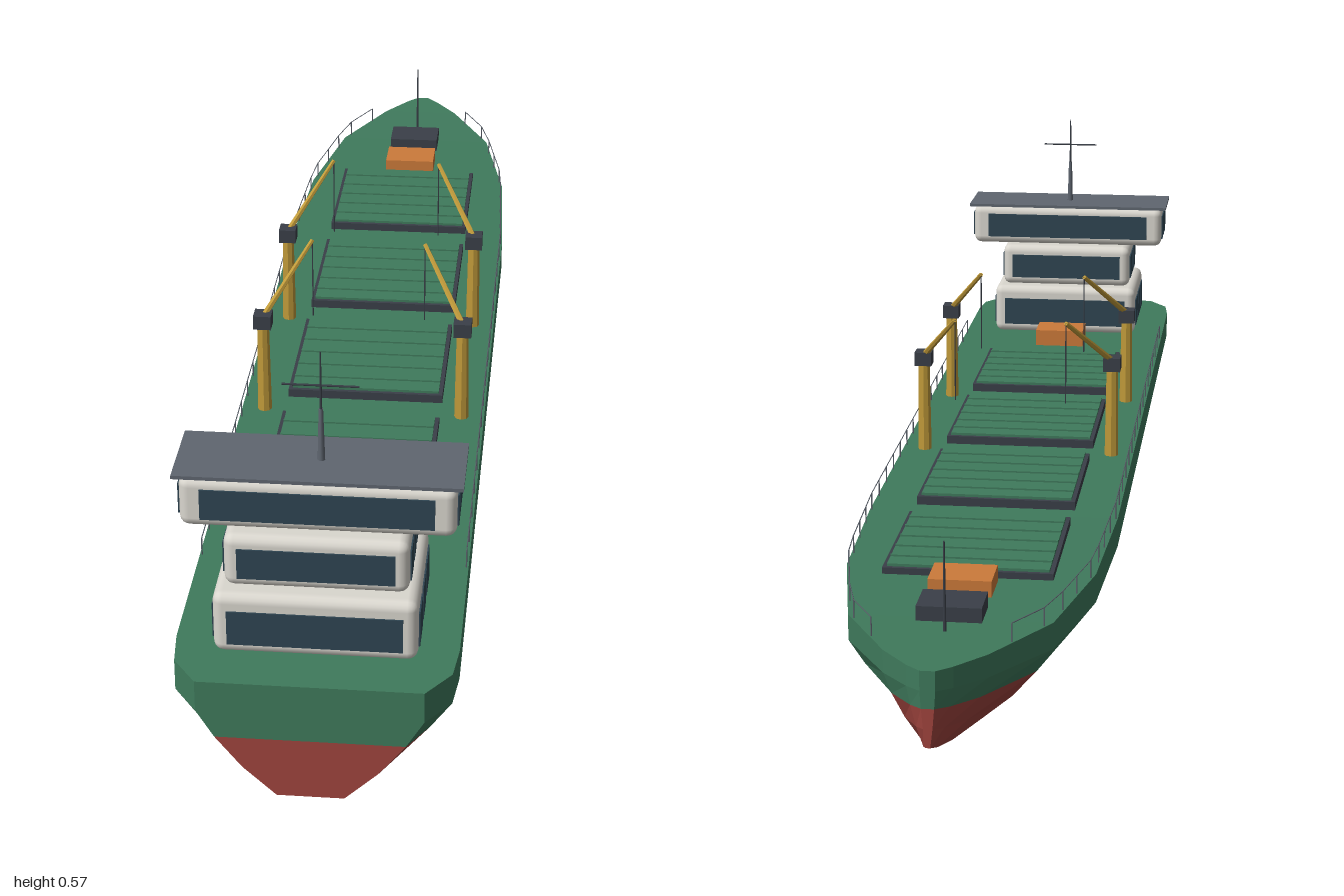
import * as THREE from 'three';
import { RoundedBoxGeometry } from 'three/addons/geometries/RoundedBoxGeometry.js';

const mat = (color, flatShading = false) => new THREE.MeshStandardMaterial({ color, flatShading });
const M = {
  green: mat(0x3f7a5c, true), red: mat(0xa0443e, true), white: mat(0xdad7cf),
  glass: mat(0x2f4552), dark: mat(0x3a3f48), roof: mat(0x5f6670),
  yellow: mat(0xc09a3a, true), orange: mat(0xcc7a3a),
};

// Hull stations, stern to bow: z, half width, keel height, deck height
const STATIONS = [
  [1, 0.148, 0, 0.172], [0.955, 0.181, 0, 0.172], [0.9, 0.187, 0, 0.172], [0.3, 0.187, 0, 0.172],
  [-0.35, 0.187, 0, 0.172], [-0.6, 0.176, 0.014, 0.175], [-0.8, 0.137, 0.038, 0.179],
  [-0.93, 0.068, 0.064, 0.184], [-0.98, 0.03, 0.076, 0.186], [-1, 0.01, 0.083, 0.187],
];
// Section profile as fractions of half width and depth
const PROFILE = [[0.3, 0], [0.6, 0.245], [0.84, 0.51], [1, 0.74], [1, 1]];

function createModel() {
  const ship = new THREE.Group();
  ship.name = 'cargoShip';

  const add = (name, geo, material, x = 0, y = 0, z = 0, parent = ship) => {
    const m = new THREE.Mesh(geo, material);
    m.name = name;
    m.position.set(x, y, z);
    parent.add(m);
    return m;
  };
  const box = (name, w, h, d, material, x, y, z, parent) =>
    add(name, new THREE.BoxGeometry(w, h, d), material, x, y, z, parent);
  // Straight rod from a to b
  const rod = (name, a, b, r0, r1, material, sides = 6, parent = ship) => {
    const dir = b.clone().sub(a);
    const m = add(name, new THREE.CylinderGeometry(r1, r0, dir.length(), sides), material, 0, 0, 0, parent);
    m.position.copy(a).add(b).multiplyScalar(0.5);
    m.quaternion.setFromUnitVectors(new THREE.Vector3(0, 1, 0), dir.normalize());
    return m;
  };
  const V = (x, y, z) => new THREE.Vector3(x, y, z);

  // Hull: closed rings of section points joined in coloured bands
  const rings = STATIONS.map(([z, w, k, d]) => {
    const left = PROFILE.map(([fx, fy]) => [w * fx, k + (d - k) * fy, z]);
    return [...left, ...left.map(([x, y]) => [-x, y, z]).reverse()];
  });
  const faces = { red: [], green: [], deck: [] };
  const quad = (key, a, b, c, d) => faces[key].push(...a, ...b, ...c, ...a, ...c, ...d);
  const bandKey = ['red', 'red', 'green', 'green', 'deck', 'green', 'green', 'red', 'red', 'red'];
  for (let i = 0; i < rings.length - 1; i++) {
    const p = rings[i], q = rings[i + 1];
    for (let j = 0; j < 10; j++) {
      const n = (j + 1) % 10;
      quad(bandKey[j], p[j], q[j], q[n], p[n]);
    }
  }
  // Transom and stem
  const s = rings[0], b = rings[rings.length - 1];
  for (let j = 0; j < 4; j++) {
    quad(bandKey[j], s[j], s[j + 1], s[8 - j], s[9 - j]);
    quad(bandKey[j], b[9 - j], b[8 - j], b[j + 1], b[j]);
  }
  const bandMesh = (name, key, material) => {
    const g = new THREE.BufferGeometry();
    g.setAttribute('position', new THREE.Float32BufferAttribute(faces[key], 3));
    g.computeVertexNormals();
    add(name, g, material);
  };
  bandMesh('lowerHull', 'red', M.red);
  bandMesh('upperHull', 'green', M.green);
  bandMesh('deck', 'deck', M.green);

  // Deck half width and height at any z
  const deckAt = (z) => {
    let i = 0;
    while (i < STATIONS.length - 2 && STATIONS[i + 1][0] > z) i++;
    const p = STATIONS[i], q = STATIONS[i + 1], t = (p[0] - z) / (p[0] - q[0]);
    return [p[1] + (q[1] - p[1]) * t, p[3] + (q[3] - p[3]) * t];
  };

  // Superstructure: three tiers with window bands
  const bridge = new THREE.Group();
  bridge.name = 'bridge';
  bridge.position.z = 0.832;
  ship.add(bridge);
  // y0, y1, width, depth, window width, window y0, window y1
  const tiers = [
    [0.17, 0.26, 0.268, 0.2, 0.23, 0.186, 0.236],
    [0.258, 0.335, 0.242, 0.155, 0.206, 0.273, 0.317],
    [0.334, 0.407, 0.36, 0.118, 0.304, 0.348, 0.392],
  ];
  tiers.forEach(([y0, y1, w, d, ww, v0, v1]) => {
    add('bridgeTier', new RoundedBoxGeometry(w, y1 - y0, d, 2, 0.014), M.white, 0, (y0 + y1) / 2, 0, bridge);
    const vy = (v0 + v1) / 2, vh = v1 - v0, pitch = (d - 0.02) / 3;
    for (const side of [-1, 1]) {
      box('windowBand', ww, vh, 0.004, M.glass, 0, vy, side * d / 2, bridge);
      for (let i = -1; i <= 1; i++)
        box('sideWindow', 0.004, vh, pitch * 0.8, M.glass, side * w / 2, vy, i * pitch, bridge);
    }
  });
  box('bridgeRoof', 0.376, 0.005, 0.118, M.roof, 0, 0.408, 0, bridge);
  rod('mastBase', V(0, 0.41, 0), V(0, 0.485, 0), 0.005, 0.003, M.roof, 8, bridge);
  rod('mastTop', V(0, 0.485, 0), V(0, 0.567, 0), 0.002, 0.001, M.dark, 6, bridge);
  rod('mastCrossbar', V(-0.05, 0.519, 0), V(0.05, 0.519, 0), 0.0014, 0.0014, M.dark, 6, bridge);

  // Cargo hatches with ribbed covers
  for (let i = 0; i < 4; i++) {
    const z = 0.427 - i * 0.313;
    box('hatchCoaming', 0.24, 0.018, 0.244, M.dark, 0, 0.176, z);
    box('hatchCover', 0.228, 0.006, 0.232, M.green, 0, 0.186, z);
    for (let k = -2; k <= 2; k++) box('hatchRib', 0.228, 0.003, 0.005, M.green, 0, 0.19, z + k * 0.042);
  }

  // Deck cranes, in mirrored pairs
  for (const z of [0.275, -0.037]) for (const side of [-1, 1]) {
    const x = side * 0.152, tip = V(side * 0.087, 0.414, z - 0.1);
    const crane = new THREE.Group();
    crane.name = 'crane';
    ship.add(crane);
    rod('cranePost', V(x, 0.17, z), V(x, 0.32, z), 0.011, 0.009, M.yellow, 8, crane);
    box('craneHead', 0.027, 0.022, 0.027, M.dark, x, 0.325, z, crane);
    rod('craneJib', V(x, 0.329, z), tip, 0.005, 0.0035, M.yellow, 6, crane);
    rod('craneCable', tip, V(tip.x, 0.285, tip.z), 0.001, 0.001, M.dark, 5, crane);
  }

  // Deck lockers, winch and foremast
  box('aftLocker', 0.088, 0.03, 0.063, M.orange, 0, 0.186, 0.661);
  box('foreLocker', 0.088, 0.028, 0.066, M.orange, 0, 0.186, -0.679);
  box('winch', 0.088, 0.026, 0.064, M.dark, 0, 0.187, -0.782);
  rod('foremast', V(0, 0.178, -0.85), V(0, 0.305, -0.85), 0.0025, 0.0012, M.dark, 6);

  // Guard rails along both deck edges
  const count = 24;
  for (const side of [-1, 1]) {
    const rail = new THREE.Group();
    rail.name = 'guardRail';
    ship.add(rail);
    let last = null;
    for (let i = 0; i <= count; i++) {
      const z = 0.7 - (1.58 * i) / count, [w, y] = deckAt(z);
      const foot = V(side * (w - 0.003), y, z), top = V(foot.x, y + 0.026, z);
      rod('railPost', foot, top, 0.001, 0.001, M.roof, 4, rail);
      if (last) rod('railBar', last, top, 0.0008, 0.0008, M.roof, 4, rail);
      last = top;
    }
  }
  return ship;
}

export { createModel };
